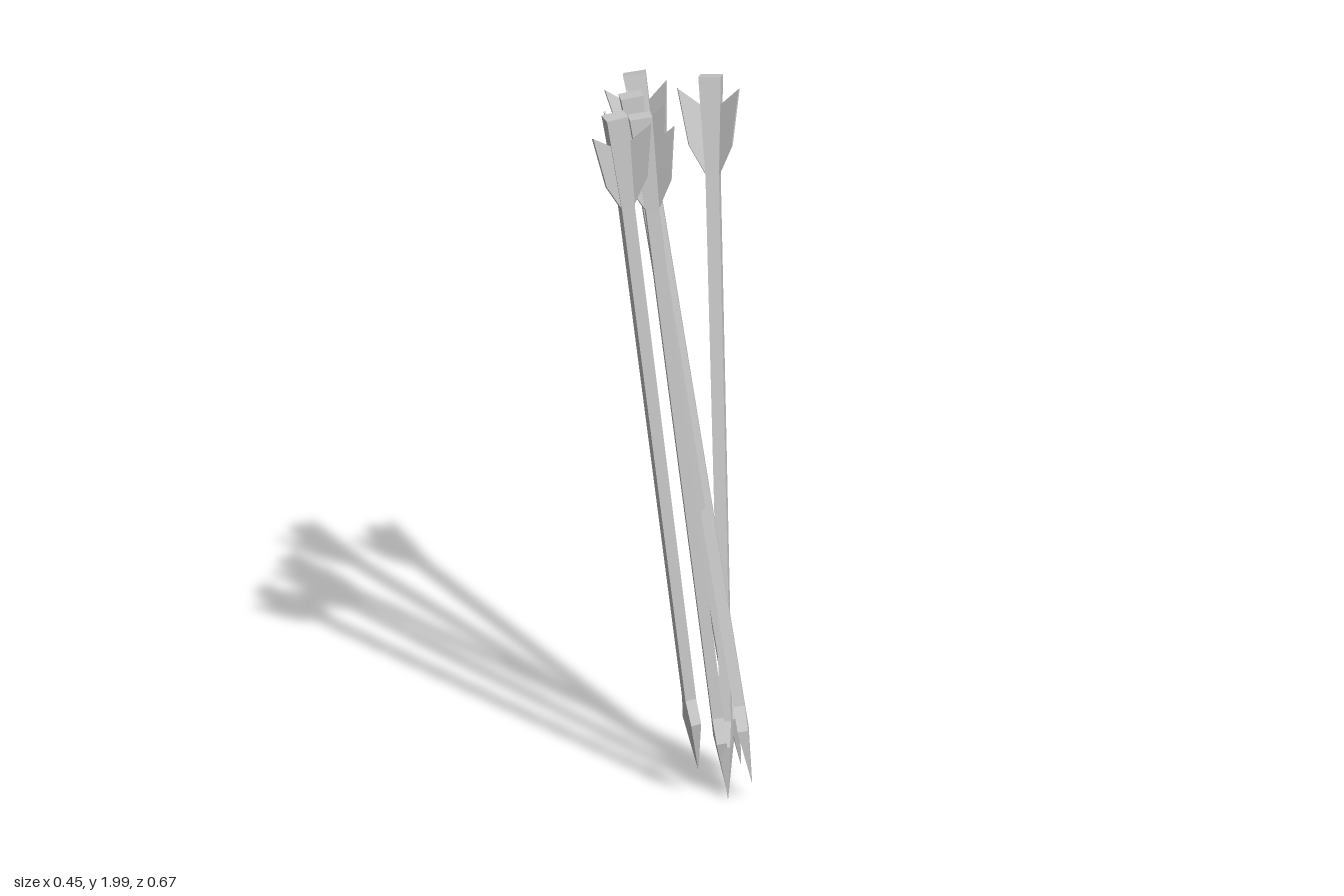
import * as THREE from 'three';

const material = new THREE.MeshStandardMaterial({ color: 0xcccccc, flatShading: true, side: THREE.DoubleSide });

// Rectangular bar between two heights, each end [y, width, depth]
function taperedBar(name, [y0, w0, d0], [y1, w1, d1]) {
  const geometry = new THREE.BoxGeometry(1, 1, 1);
  const p = geometry.attributes.position;
  for (let i = 0; i < p.count; i++) {
    const top = p.getY(i) > 0;
    p.setXYZ(i, p.getX(i) * (top ? w1 : w0), top ? y1 : y0, p.getZ(i) * (top ? d1 : d0));
  }
  geometry.computeVertexNormals();
  const mesh = new THREE.Mesh(geometry, material);
  mesh.name = name;
  return mesh;
}

// Swept-back feather; heights are relative to the end of the arrow
function makeFin(length) {
  const shape = new THREE.Shape([
    new THREE.Vector2(0.012, -0.09),
    new THREE.Vector2(0.012, -0.28),
    new THREE.Vector2(0.067, -0.18),
    new THREE.Vector2(0.095, -0.025),
  ]);
  const geometry = new THREE.ExtrudeGeometry(shape, { depth: 0.005, bevelEnabled: false });
  geometry.translate(0, length, -0.0025);
  const mesh = new THREE.Mesh(geometry, material);
  mesh.name = 'fin';
  return mesh;
}

// Arrow with its point at the origin and its nock up the y axis
function makeArrow(length) {
  const arrow = new THREE.Group();
  arrow.name = 'arrow';
  const wide = [0.145, 0.028, 0.07];
  const neck = [0.21, 0.03, 0.028];
  const nockBase = [length - 0.27, 0.036, 0.034];
  arrow.add(
    taperedBar('arrowheadPoint', [0, 0.001, 0.001], wide),
    taperedBar('arrowheadBase', wide, neck),
    taperedBar('shaft', neck, nockBase),
    taperedBar('nock', nockBase, [length, 0.06, 0.046]),
  );
  // three feathers, the first one to the back
  for (let i = 0; i < 3; i++) {
    const fin = makeFin(length);
    fin.rotation.y = Math.PI / 2 + (i * Math.PI * 2) / 3;
    arrow.add(fin);
  }
  return arrow;
}

export function createModel() {
  const model = new THREE.Group();
  model.name = 'arrowBundle';
  // point, nock end, roll in degrees
  const arrows = [
    [[0.223, 0.055, 0.173], [-0.155, 1.905, -0.22], 9],
    [[0.157, 0.0, 0.162], [0.045, 1.9, -0.245], 1],
    [[0.17, 0.04, 0.027], [-0.125, 1.95, 0.023], 18],
    [[0.15, 0.015, 0.14], [-0.085, 1.935, 0.12], 17],
    [[0.078, 0.08, 0.165], [-0.13, 1.99, 0.255], 28],
  ];
  const up = new THREE.Vector3(0, 1, 0);
  for (const [point, end, roll] of arrows) {
    const from = new THREE.Vector3(...point);
    const axis = new THREE.Vector3(...end).sub(from);
    const arrow = makeArrow(axis.length());
    arrow.position.copy(from);
    arrow.quaternion.setFromUnitVectors(up, axis.normalize());
    arrow.rotateY(THREE.MathUtils.degToRad(roll));
    model.add(arrow);
  }
  return model;
}
